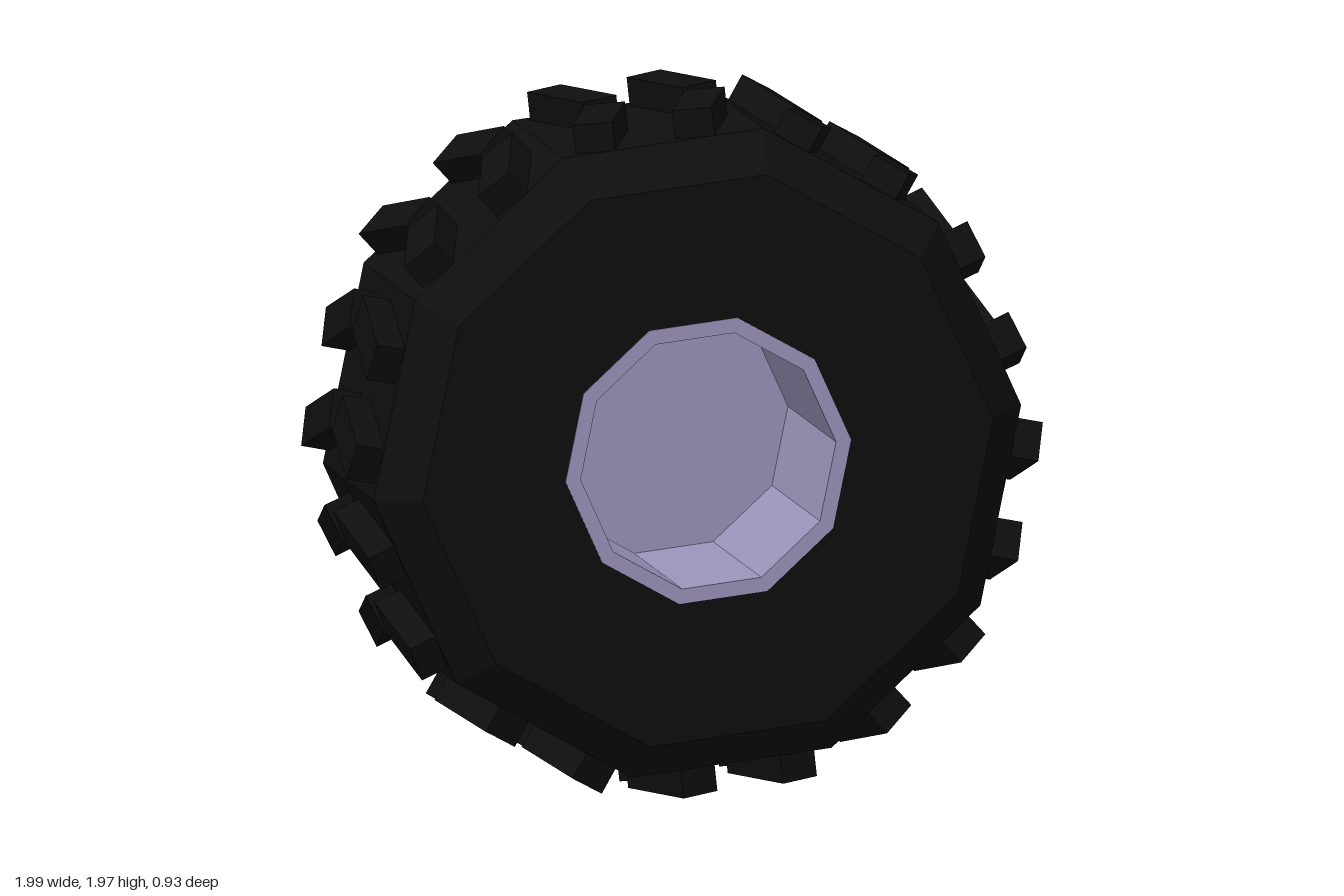
import * as THREE from 'three';

const SIDES = 10;
const PHASE = THREE.MathUtils.degToRad(6.3); // angle of the first corner
const FACET = (Math.PI * 2) / SIDES;

const rubber = new THREE.MeshStandardMaterial({ color: 0x0e0e0e, flatShading: true });
const metal = new THREE.MeshStandardMaterial({ color: 0x9c93bb, flatShading: true });

// Ten-sided solid turned about the z axis from [radius, z] points
function turned(name, profile, material) {
  const points = profile.map(([r, z]) => new THREE.Vector2(r, z));
  const geometry = new THREE.LatheGeometry(points, SIDES, PHASE + FACET / 2);
  geometry.rotateX(Math.PI / 2);
  const mesh = new THREE.Mesh(geometry, material);
  mesh.name = name;
  return mesh;
}

export function createModel() {
  const wheel = new THREE.Group();
  wheel.name = 'wheel';

  // Tyre body with bevelled shoulders
  wheel.add(turned('tyre', [
    [0.4, -0.46], [0.82, -0.46], [0.93, -0.325],
    [0.93, 0.325], [0.82, 0.46], [0.4, 0.46],
  ], rubber));

  // Hub: flat at the back, deep cup at the front
  wheel.add(turned('hub', [
    [0, -0.463], [0.41, -0.463], [0.41, 0.463],
    [0.367, 0.463], [0.367, -0.15], [0, -0.15],
  ], metal));

  // Tread: two chevrons on each facet, each made of two slanted blocks
  const tread = new THREE.Group();
  tread.name = 'tread';
  const lugGeometry = new THREE.BoxGeometry(0.125, 0.112, 0.288);
  const slant = THREE.MathUtils.degToRad(20);
  for (let i = 0; i < SIDES; i++) {
    const facet = new THREE.Group();
    facet.name = 'treadFacet';
    facet.rotation.z = PHASE + FACET * (i + 0.5);
    for (const along of [-0.143, 0.143]) {
      for (const side of [-1, 1]) {
        const lug = new THREE.Mesh(lugGeometry, rubber);
        lug.name = side > 0 ? 'frontLug' : 'backLug';
        lug.position.set(0.9025, along, side * 0.172);
        lug.rotation.x = -side * slant;
        facet.add(lug);
      }
    }
    tread.add(facet);
  }
  wheel.add(tread);

  // Stand the wheel on the ground
  wheel.position.y = 0.983;
  const model = new THREE.Group();
  model.name = 'tractorWheel';
  model.add(wheel);
  return model;
}
